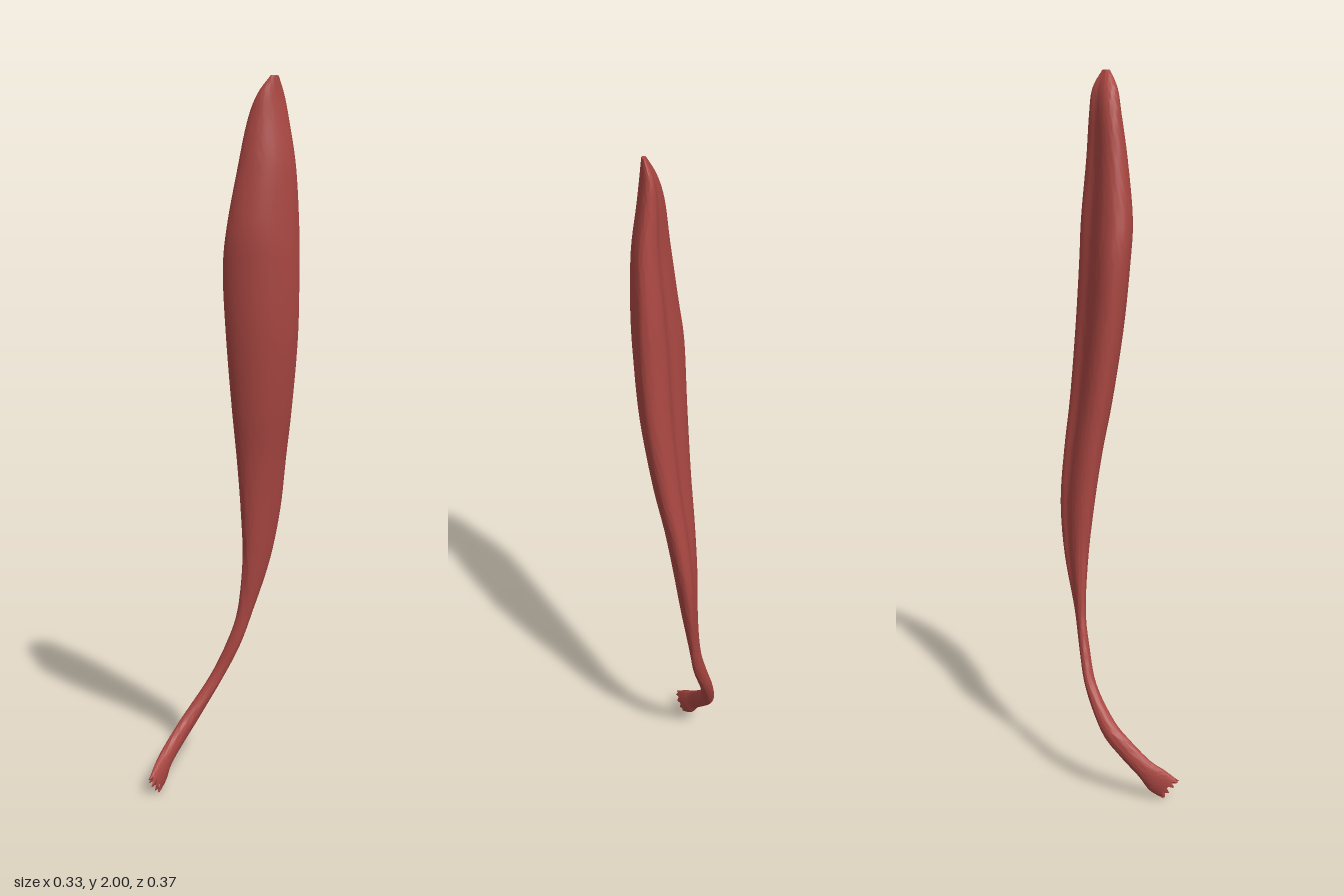
import * as THREE from 'three';
import { toCreasedNormals } from 'three/addons/utils/BufferGeometryUtils.js';

// Sections from tip to foot: y, xMin, xMax, zMin, zMax, tilt (rise of y per unit z)
const SECTIONS = [
  [2.0, 0.105, 0.12, -0.072, -0.05, 0],
  [1.95, 0.072, 0.126, -0.1, -0.025, 0],
  [1.88, 0.046, 0.138, -0.11, -0.012, 0],
  [1.76, 0.024, 0.156, -0.12, 0.006, 0],
  [1.6, -0.004, 0.161, -0.135, 0.023, 0],
  [1.48, -0.02, 0.16, -0.14, 0.018, 0],
  [1.3, -0.02, 0.151, -0.15, 0, 0],
  [1.1, -0.017, 0.125, -0.163, -0.03, 0],
  [0.95, -0.015, 0.098, -0.177, -0.058, 0],
  [0.8, -0.013, 0.075, -0.185, -0.08, 0],
  [0.65, -0.013, 0.048, -0.17, -0.096, 0],
  [0.5, -0.03, 0.011, -0.135, -0.1, 0],
  [0.4, -0.06, -0.017, -0.115, -0.085, 0],
  [0.3, -0.1, -0.06, -0.088, -0.058, 0.3],
  [0.2, -0.143, -0.102, -0.036, 0.002, 0.7],
  [0.145, -0.157, -0.12, 0.018, 0.05, 1.3],
  [0.092, -0.165, -0.13, 0.075, 0.107, 1.45],
  [0.06, -0.16, -0.13, 0.103, 0.147, 1.35],
  [0.037, -0.152, -0.13, 0.135, 0.18, 1.22],
];

// Belly outline in a unit square (x, z): bulging front, slightly hollow back
const OUTLINE = [
  [1, -0.75], [0.96, -0.2], [0.62, 0.5], [0.15, 0.88], [-0.4, 1], [-0.85, 0.85],
  [-1, 0.5], [-0.85, 0.1], [-0.45, -0.25], [-0.05, -0.5], [0.3, -0.9], [0.75, -1],
];

const AROUND = 48;
const STEPS = 5;

function closedOutline() {
  const curve = new THREE.CatmullRomCurve3(OUTLINE.map(([x, z]) => new THREE.Vector3(x, 0, z)), true);
  const pts = [];
  for (let j = 0; j < AROUND; j++) pts.push(curve.getPoint(j / AROUND));
  return pts.map((p) => [THREE.MathUtils.clamp(p.x, -1, 1), THREE.MathUtils.clamp(p.z, -1, 1)]);
}

// Smooth interpolation of a whole section row
function sectionAt(t) {
  const i = Math.min(Math.floor(t), SECTIONS.length - 2);
  const f = t - i;
  const row = (k) => SECTIONS[THREE.MathUtils.clamp(k, 0, SECTIONS.length - 1)];
  const [a, b, c, d] = [row(i - 1), row(i), row(i + 1), row(i + 2)];
  return b.map((v, k) => {
    const m0 = (c[k] - a[k]) / 2;
    const m1 = (d[k] - v) / 2;
    const f2 = f * f;
    const f3 = f2 * f;
    return (2 * f3 - 3 * f2 + 1) * v + (f3 - 2 * f2 + f) * m0 + (3 * f2 - 2 * f3) * c[k] + (f3 - f2) * m1;
  });
}

function loftGeometry() {
  const outline = closedOutline();
  const positions = [];
  const index = [];
  const rows = (SECTIONS.length - 1) * STEPS;
  for (let i = 0; i <= rows; i++) {
    const [y, x0, x1, z0, z1, tilt] = sectionAt(i / STEPS);
    const cord = THREE.MathUtils.smoothstep(0.6 - y, 0, 0.3); // belly outline turns round in the cord
    outline.forEach(([ox, oz], j) => {
      const angle = (j / AROUND) * Math.PI * 2 - 0.6;
      const px = THREE.MathUtils.lerp(ox, Math.cos(angle), cord);
      const pz = THREE.MathUtils.lerp(oz, Math.sin(angle), cord);
      const dz = (pz * (z1 - z0)) / 2;
      // the last ring is frayed
      const fray = i === rows ? 0.008 * Math.sin(j * 1.3) : 0;
      positions.push(
        (x0 + x1) / 2 + (px * (x1 - x0)) / 2,
        Math.max(0, y + tilt * dz - fray * 0.6),
        (z0 + z1) / 2 + dz + fray,
      );
    });
  }
  for (let i = 0; i < rows; i++) {
    for (let j = 0; j < AROUND; j++) {
      const a = i * AROUND + j;
      const b = i * AROUND + ((j + 1) % AROUND);
      index.push(a, b, a + AROUND, b, b + AROUND, a + AROUND);
    }
  }
  // Tip cap and hollowed foot cap
  const tip = positions.length / 3;
  positions.push(0.113, 2.0, -0.061);
  const foot = tip + 1;
  positions.push(-0.142, 0.047, 0.146);
  const last = rows * AROUND;
  for (let j = 0; j < AROUND; j++) {
    const k = (j + 1) % AROUND;
    index.push(tip, k, j, foot, last + j, last + k);
  }
  const geometry = new THREE.BufferGeometry();
  geometry.setAttribute('position', new THREE.Float32BufferAttribute(positions, 3));
  geometry.setIndex(index);
  return toCreasedNormals(geometry, 0.7);
}

export function createModel() {
  const group = new THREE.Group();
  group.name = 'muscle';
  const muscleRed = new THREE.MeshStandardMaterial({ color: 0xac4843 });
  muscleRed.name = 'muscle red';
  // Belly tapering into its tendon cord
  const belly = new THREE.Mesh(loftGeometry(), muscleRed);
  belly.name = 'muscleBellyAndTendon';
  group.add(belly);
  return group;
}
